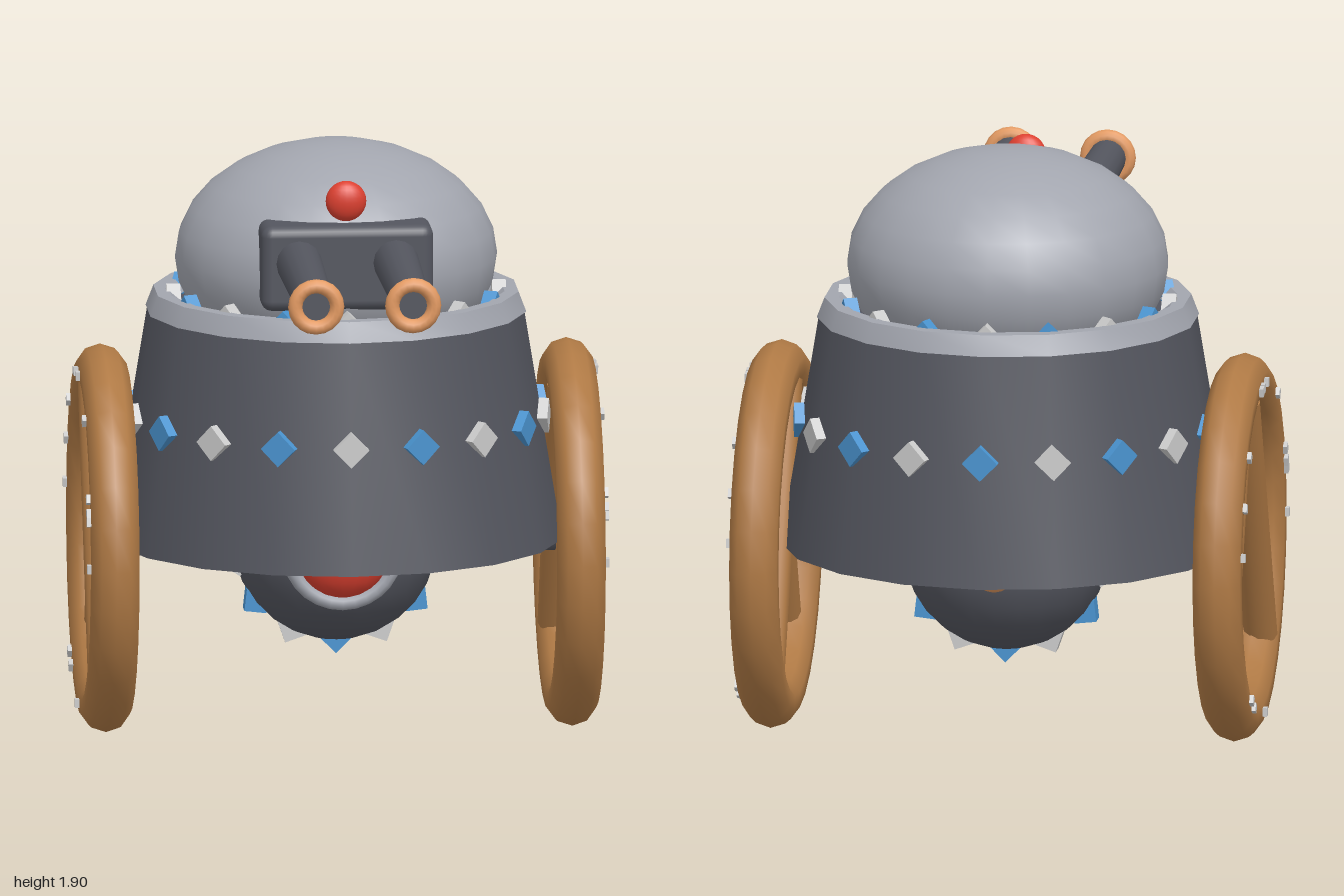
import * as THREE from 'three';
import { RoundedBoxGeometry } from 'three/addons/geometries/RoundedBoxGeometry.js';
import { toCreasedNormals } from 'three/addons/utils/BufferGeometryUtils.js';

const mat = (color) => new THREE.MeshStandardMaterial({ color });
const dark = mat(0x54565f), light = mat(0xa2a5ae), wood = mat(0xb07a45), copper = mat(0xe39a62);
const red = mat(0xdc4030), white = mat(0xcccccc), blue = mat(0x4a94d0);
const CZ = -0.27; // body axis

export function createModel() {
  const model = new THREE.Group();

  const add = (name, geo, material, x, y, z, parent = model) => {
    const m = new THREE.Mesh(geo, material);
    m.name = name;
    m.position.set(x, y, z);
    parent.add(m);
    return m;
  };
  const ball = (name, material, r, x, y, z, sx = 1, sy = 1, sz = 1, seg = 20) => {
    const m = add(name, new THREE.SphereGeometry(r, seg, 14), material, x, y, z);
    m.scale.set(sx, sy, sz);
    return m;
  };
  const lathe = (pts) => toCreasedNormals(
    new THREE.LatheGeometry(pts.map(([r, y]) => new THREE.Vector2(r, y)), 18), 0.5);
  // cylinder running between two points
  const rod = (name, a, b, r, material, parent) => {
    const d = b.clone().sub(a), c = a.clone().add(b).multiplyScalar(0.5);
    const m = add(name, new THREE.CylinderGeometry(r, r, d.length(), 12), material, c.x, c.y, c.z, parent);
    m.quaternion.setFromUnitVectors(new THREE.Vector3(0, 1, 0), d.normalize());
    return m;
  };

  // tapered hull, collar and dome
  add('hull', lathe([[0, 0.62], [0.725, 0.62], [0.6, 1.38], [0, 1.38]]), dark, 0, 0, CZ);
  add('collar', lathe([[0.5, 1.355], [0.61, 1.355], [0.585, 1.42], [0.54, 1.42], [0.5, 1.39]]), light, 0, 0, CZ);
  ball('dome', light, 0.515, 0, 1.53, CZ, 1, 0.72, 1, 24);

  // rings of diamond studs around the hull and inside the collar
  const studRing = (name, count, radius, y, size) => {
    const geo = new THREE.BoxGeometry(size, size, 0.045);
    for (let i = 0; i < count; i++) {
      const a = (i / count) * Math.PI * 2;
      const s = add(name, geo, i % 2 ? blue : white, Math.sin(a) * radius, y, CZ + Math.cos(a) * radius);
      s.rotation.set(0, a, Math.PI / 4, 'YXZ');
    }
  };
  studRing('hullStud', 18, 0.66, 1.02, 0.08);
  studRing('collarStud', 16, 0.52, 1.385, 0.08);

  // underslung ball with studs, front lens and rear knob
  ball('underBall', dark, 0.33, 0, 0.61, -0.3, 1, 1, 1, 24);
  for (let i = 0; i < 14; i++) {
    const a = (i / 14) * Math.PI * 2;
    if (Math.cos(a) < 0) continue; // upper half sits inside the hull
    const s = add('underBallStud', new THREE.BoxGeometry(0.07, 0.07, 0.07), i % 2 ? white : blue,
      Math.sin(a) * 0.325, 0.61 - Math.cos(a) * 0.325, -0.3);
    s.rotation.z = a + Math.PI / 4;
  }
  ball('lens', red, 0.155, 0, 0.625, 0.02, 1, 1, 0.58);
  add('lensRing', new THREE.TorusGeometry(0.17, 0.025, 10, 28), light, 0, 0.625, 0.025);
  ball('rearKnob', copper, 0.075, 0, 0.6, -0.6);

  // gun mount with twin barrels and beacon
  add('gunMount', new RoundedBoxGeometry(0.55, 0.275, 0.27, 3, 0.035), dark, 0, 1.578, 0.11);
  ball('beacon', red, 0.065, 0, 1.785, 0.165, 1, 1, 0.62);
  for (const s of [-1, 1]) {
    const barrel = add('barrel', new THREE.CylinderGeometry(0.06, 0.074, 0.78, 16), dark, s * 0.155, 1.598, 0.585);
    barrel.rotation.x = Math.PI / 2;
    add('muzzleRing', new THREE.TorusGeometry(0.067, 0.023, 10, 20), copper, s * 0.155, 1.598, 0.977);
  }

  // axle and wheels
  rod('axle', new THREE.Vector3(-0.7, 0.62, CZ), new THREE.Vector3(0.7, 0.62, CZ), 0.06, dark);
  // rivet angles around the rim, clockwise from the top
  const rivets = [-4, 5, 9, -35, 45, 64, 81, -66, -71, -74, -90, 150, 143, 180];
  for (const s of [-1, 1]) {
    const wheel = new THREE.Group();
    wheel.name = s > 0 ? 'leftWheel' : 'rightWheel';
    wheel.position.set(s * 0.745, 0.62, CZ);
    model.add(wheel);
    add('rim', new THREE.TorusGeometry(0.54, 0.08, 10, 28), wood, 0, 0, 0, wheel).rotation.y = Math.PI / 2;
    const v = (x, y, z) => new THREE.Vector3(s * x, y, z);
    rod('outerSpoke', v(0.02, 0.49, -0.07), v(0.02, -0.36, 0.35), 0.055, wood, wheel);
    rod('innerSpoke', v(-0.02, 0.49, 0.07), v(-0.02, -0.36, -0.35), 0.055, wood, wheel);
    for (const deg of rivets) {
      const a = THREE.MathUtils.degToRad(deg);
      const r = add('rivet', new THREE.BoxGeometry(0.025, 0.028, 0.028), white,
        s * 0.077, Math.cos(a) * 0.535, -Math.sin(a) * 0.535, wheel);
      r.rotation.x = -a;
    }
  }
  return model;
}
